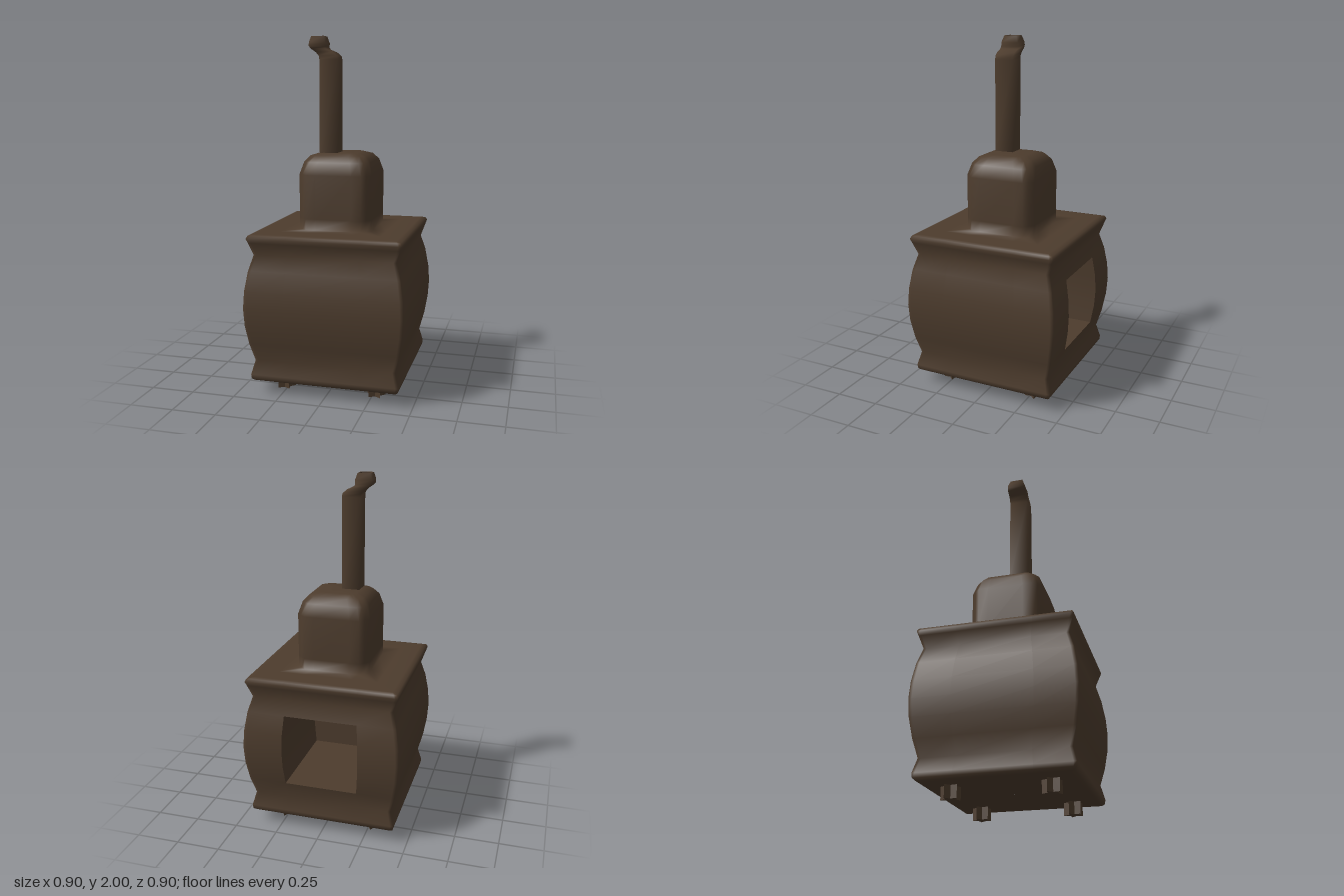
import * as THREE from 'three';
import { toCreasedNormals } from 'three/addons/utils/BufferGeometryUtils.js';

const OPEN = 0.49; // opening half-width as a share of the body half-width
const DOOR_LOW = 0.29, DOOR_HIGH = 0.71;

// Skin a list of closed rings (arrays of [x, y, z]) with quads
function loft(rings, skip = () => false) {
  const n = rings[0].length, index = [];
  for (let j = 0; j < rings.length - 1; j++) {
    for (let i = 0; i < n; i++) {
      if (skip(j, i)) continue;
      const a = j * n + i, b = j * n + (i + 1) % n;
      index.push(a, b, b + n, a, b + n, a + n);
    }
  }
  const geo = new THREE.BufferGeometry();
  geo.setAttribute('position', new THREE.Float32BufferAttribute(rings.flat(2), 3));
  geo.setIndex(index);
  geo.computeVertexNormals();
  return geo;
}

// Square ring: c is where the corner bevel starts, k pulls in the corner point
function squareRing(y, h, c = 0.96, k = 1) {
  const side = [[-c, 1], [-OPEN, 1], [OPEN, 1], [c, 1], [k, k]];
  const ring = [];
  for (let s = 0; s < 4; s++) {
    for (const [u, v] of side) {
      let x = u * h, z = v * h;
      for (let r = 0; r < s; r++) [x, z] = [z, -x];
      ring.push([x, y, z]);
    }
  }
  return ring;
}

export function createModel() {
  const group = new THREE.Group();
  const iron = new THREE.MeshStandardMaterial({ color: 0x4d3c2d });
  iron.name = 'dark brown iron';
  const add = (name, geo) => {
    const mesh = new THREE.Mesh(geo, iron);
    mesh.name = name;
    group.add(mesh);
    return mesh;
  };

  // Bulging body, flared rims and the smaller box on top: [y, half-width]
  const bulge = [[DOOR_LOW, 0.428], [0.4, 0.446], [0.5, 0.452], [0.6, 0.446], [DOOR_HIGH, 0.428]];
  const profile = [
    [0.07, 0.001], [0.07, 0.37], [0.072, 0.405], [0.085, 0.42], [0.11, 0.423], [0.19, 0.402],
    ...bulge,
    [0.8, 0.402], [0.87, 0.426], [0.895, 0.435], [0.912, 0.426], [0.917, 0.4], [0.917, 0.29],
  ];
  const hood = [
    [0.917, 0.21], [0.98, 0.21], [1.23, 0.21], [1.3, 0.187], [1.335, 0.155], [1.35, 0.105], [1.35, 0.001],
  ];
  const rings = [
    ...profile.map(([y, h]) => squareRing(y, h)),
    ...hood.map(([y, h]) => squareRing(y, h, 0.76, 0.88)),
  ];
  const inDoor = (j, i) => i === 11 && profile[j] && profile[j][0] >= DOOR_LOW && profile[j][0] < DOOR_HIGH;
  add('body', loft(rings, inDoor));

  // Firebox recess behind the opening in the back
  const down = [...bulge].reverse();
  const mouth = [
    ...down.map(([y, h]) => [OPEN * h, y, -h]),
    ...bulge.map(([y, h]) => [-OPEN * h, y, -h]),
  ];
  const rear = mouth.map(([x, y]) => [x, y, 0.14]);
  const center = mouth.map(() => [0, 0.5, 0.14]);
  add('firebox', toCreasedNormals(loft([mouth, rear, center]), 0.7));

  // Square pipe with a crooked end: [left x, left y, right x, right y, half depth]
  const pz = 0.054;
  const pipeRing = ([xl, yl, xr, yr, d]) => [
    [xl, yl, pz + d], [xr, yr, pz + d], [xr, yr, pz - d], [xl, yl, pz - d],
  ];
  const pipe = [
    [-0.105, 1.33, 0, 1.33, 0.054], [-0.105, 1.87, 0, 1.87, 0.054],
    [-0.108, 1.89, -0.004, 1.89, 0.054], [-0.125, 1.91, -0.03, 1.912, 0.054],
    [-0.155, 1.93, -0.068, 1.927, 0.054], [-0.167, 1.945, -0.076, 1.94, 0.053],
    [-0.167, 1.965, -0.073, 1.962, 0.05], [-0.157, 2, -0.084, 2, 0.037],
  ];
  add('pipe', loft(pipe.map(pipeRing)));

  // Rim and shallow hollow at the pipe's end
  const tip = [
    [-0.157, 2, -0.084, 2, 0.037], [-0.148, 2, -0.093, 2, 0.028],
    [-0.148, 1.96, -0.093, 1.96, 0.028], [-0.12, 1.96, -0.12, 1.96, 0],
  ];
  add('pipeTip', toCreasedNormals(loft(tip.map(pipeRing)), 0.7));

  // Star-shaped feet
  const star = new THREE.Shape();
  for (let i = 0; i < 10; i++) {
    const r = i % 2 ? 0.028 : 0.055, a = Math.PI / 2 + i * Math.PI / 5;
    star[i ? 'lineTo' : 'moveTo'](r * Math.cos(a), r * Math.sin(a));
  }
  star.closePath();
  const footGeo = new THREE.ExtrudeGeometry(star, { depth: 0.075, bevelEnabled: false });
  footGeo.rotateX(-Math.PI / 2);
  for (const x of [-0.267, 0.267]) {
    for (const z of [-0.267, 0.267]) add('foot', footGeo).position.set(x, 0, z);
  }
  return group;
}
